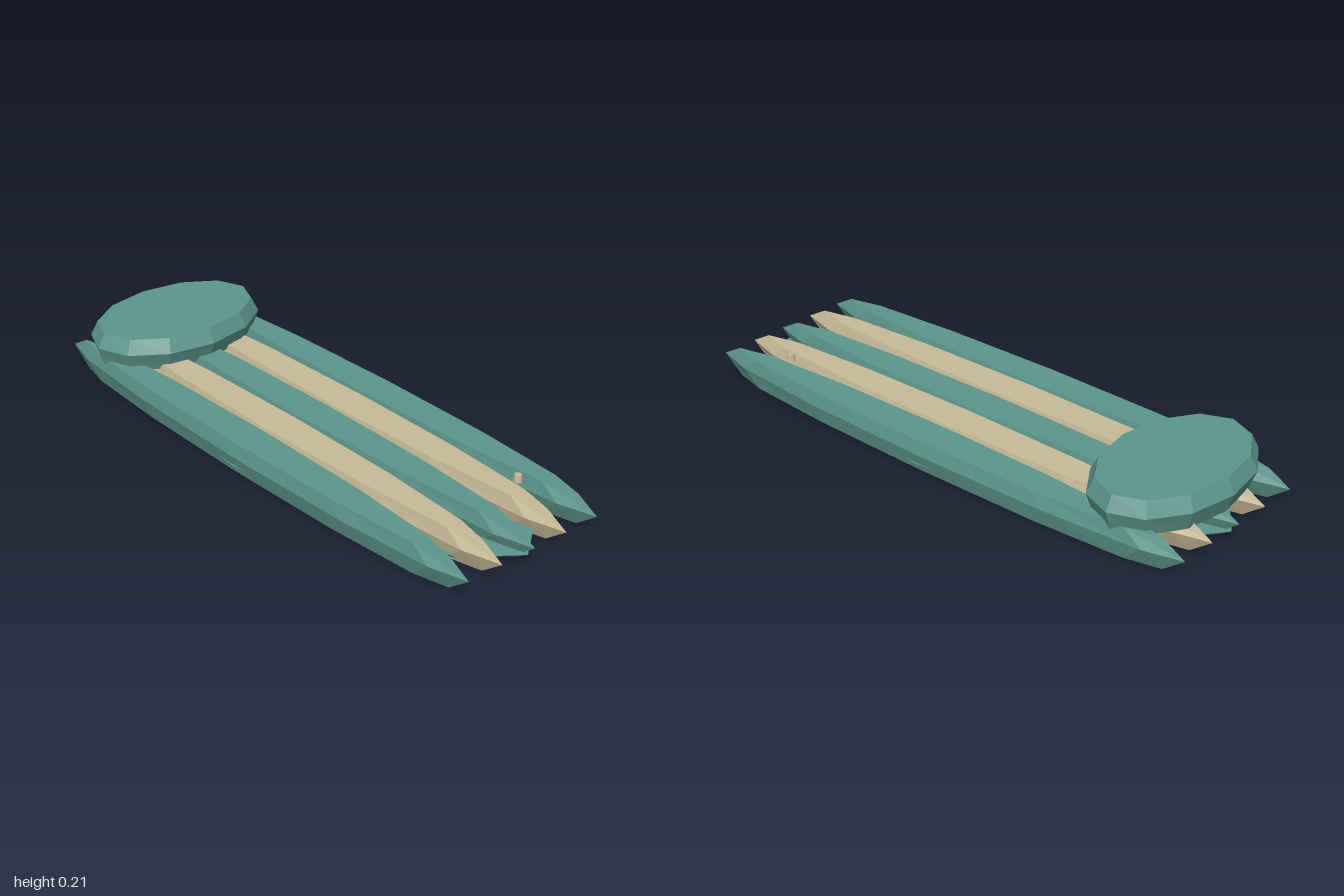
import * as THREE from 'three';

const teal = new THREE.MeshStandardMaterial({ color: 0x5c958b });
teal.name = 'teal vinyl';
const tan = new THREE.MeshStandardMaterial({ color: 0xc8ba98 });
tan.name = 'tan vinyl';

const SIDES = 12;

// Closed faceted cushion from stacked elliptical rings [y, x radius, z radius], bottom to top
function cushion(rings) {
  const pos = [];
  const point = ([y, rx, rz], i) => {
    const a = (i / SIDES) * Math.PI * 2;
    return [rx * Math.cos(a), y, rz * Math.sin(a)];
  };
  const tri = (a, b, c) => pos.push(...a, ...b, ...c);
  const bottom = rings[0], top = rings[rings.length - 1];
  for (let i = 0; i < SIDES; i++) {
    for (let r = 0; r < rings.length - 1; r++) {
      const a = point(rings[r], i), b = point(rings[r], i + 1);
      const c = point(rings[r + 1], i + 1), d = point(rings[r + 1], i);
      tri(a, d, c);
      tri(a, c, b);
    }
    tri([0, top[0], 0], point(top, i + 1), point(top, i));
    tri([0, bottom[0], 0], point(bottom, i), point(bottom, i + 1));
  }
  const geo = new THREE.BufferGeometry();
  geo.setAttribute('position', new THREE.Float32BufferAttribute(pos, 3));
  geo.computeVertexNormals(); // unshared corners give flat facets
  return geo;
}

export function createModel() {
  const group = new THREE.Group();
  group.name = 'poolLounger';
  const add = (name, geo, mat, x = 0, y = 0, z = 0) => {
    const mesh = new THREE.Mesh(geo, mat);
    mesh.name = name;
    mesh.position.set(x, y, z);
    group.add(mesh);
  };

  // Thin floor panel joining the tubes
  add('floorPanel', cushion([[0, 0.305, 0.925], [0.03, 0.34, 0.975]]), teal);

  // Five long inflated tubes in alternating colours
  const tube = cushion([[0.005, 0.058, 0.92], [0.065, 0.073, 1], [0.11, 0.06, 0.92]]);
  for (let i = -2; i <= 2; i++) {
    add('airTube' + (i + 3), tube, i % 2 ? tan : teal, i * 0.135);
  }

  // Oval pillow at the head end
  const pillow = cushion([[0.09, 0.308, 0.195], [0.157, 0.33, 0.222], [0.207, 0.305, 0.197]]);
  add('pillow', pillow, teal, 0, 0, -0.753);

  // Small inflation valve
  const valve = new THREE.CylinderGeometry(0.012, 0.015, 0.024, 8).toNonIndexed();
  valve.computeVertexNormals();
  add('valve', valve, tan, 0.2, 0.11, 0.735);

  return group;
}
